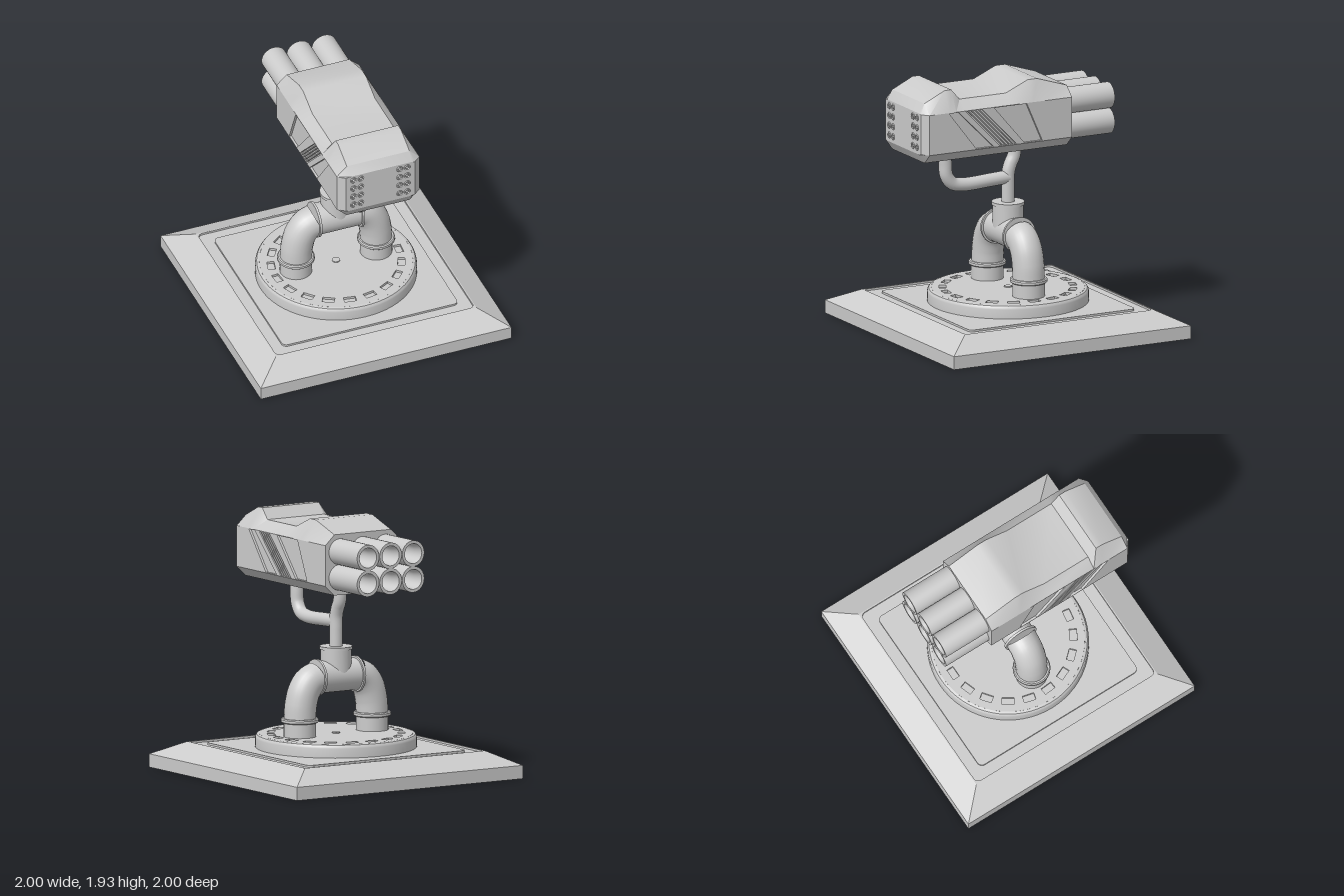
import * as THREE from 'three';
import { toCreasedNormals } from 'three/addons/utils/BufferGeometryUtils.js';

const grey = new THREE.MeshStandardMaterial({ color: 0xcccccc });
const V2 = (x, y) => new THREE.Vector2(x, y);

function add(parent, name, geometry, x = 0, y = 0, z = 0) {
  const mesh = new THREE.Mesh(geometry, grey);
  mesh.name = name;
  mesh.position.set(x, y, z);
  parent.add(mesh);
  return mesh;
}

function group(parent, name) {
  const g = new THREE.Group();
  g.name = name;
  parent.add(g);
  return g;
}

const lathe = (pts, seg = 32) =>
  toCreasedNormals(new THREE.LatheGeometry(pts.map(p => V2(...p)), seg), 0.6);
const polygon = pts => new THREE.Shape(pts.map(p => V2(...p)));
const tube = (pts, r, seg = 24) =>
  new THREE.TubeGeometry(new THREE.CatmullRomCurve3(pts.map(p => new THREE.Vector3(...p))), seg, r, 24);

// Square outline with rounded corners, h = half width
function roundedSquare(h, r) {
  const s = new THREE.Shape();
  [[1, 1], [-1, 1], [-1, -1], [1, -1]].forEach(([sx, sy], i) =>
    s.absarc(sx * (h - r), sy * (h - r), r, i * Math.PI / 2, (i + 1) * Math.PI / 2));
  return s;
}

// Horizontal slab extruded upwards from y = 0
const slab = (shape, depth) =>
  new THREE.ExtrudeGeometry(shape, { depth, bevelEnabled: false, curveSegments: 24 }).rotateX(-Math.PI / 2);

function buildBase(root) {
  const base = group(root, 'base');
  add(base, 'plinth', new THREE.BoxGeometry(2, 0.1, 2), 0, 0.05, 0);
  const slope = new THREE.CylinderGeometry(0.8 * Math.SQRT2, Math.SQRT2, 0.1, 4, 1, true).rotateY(Math.PI / 4);
  add(base, 'slopedEdge', toCreasedNormals(slope, 0.3), 0, 0.15, 0);
  // Shallow moat around a raised pad
  const rim = polygon([[-0.8, -0.8], [0.8, -0.8], [0.8, 0.8], [-0.8, 0.8]]);
  rim.holes.push(roundedSquare(0.79, 0.04));
  add(base, 'rim', slab(rim, 0.02), 0, 0.18, 0);
  add(base, 'moatFloor', new THREE.PlaneGeometry(1.6, 1.6).rotateX(-Math.PI / 2), 0, 0.185, 0);
  add(base, 'pad', slab(roundedSquare(0.7, 0.04), 0.02), 0, 0.18, 0);
}

function buildTurntable(root) {
  const table = group(root, 'turntable');
  add(table, 'turntableEdge', lathe([[0.6, 0.2], [0.6, 0.27], [0.597, 0.283], [0.588, 0.295], [0.57, 0.3]], 64));
  // Top plate with a ring of slots
  const plate = new THREE.Shape().absarc(0, 0, 0.57, 0, Math.PI * 2);
  for (let i = 0; i < 19; i++) {
    const a = Math.PI / 2 + i * Math.PI * 2 / 19;
    const c = Math.cos(a), s = Math.sin(a);
    plate.holes.push(polygon([[-1, -1], [1, -1], [1, 1], [-1, 1]].map(([u, v]) => {
      const r = 0.485 + u * 0.027, t = v * 0.045;
      return [c * r - s * t, s * r + c * t];
    })));
  }
  add(table, 'slottedPlate', slab(plate, 0.02), 0, 0.28, 0);
  add(table, 'slotFloor', new THREE.CircleGeometry(0.57, 48).rotateX(-Math.PI / 2), 0, 0.282, 0);
  add(table, 'centreCap', new THREE.CylinderGeometry(0.03, 0.03, 0.01, 20), 0, 0.302, 0);
}

function buildStand(root) {
  const stand = group(root, 'pipeStand');
  for (const s of [1, -1]) {
    add(stand, 'footPipe', new THREE.CylinderGeometry(0.12, 0.12, 0.13, 32), s * 0.32, 0.36, 0);
    add(stand, 'footFlange', lathe([[0, 0.405], [0.132, 0.405], [0.14, 0.412], [0.14, 0.43], [0.132, 0.438], [0, 0.438]]), s * 0.32, 0, 0);
    add(stand, 'elbow', tube([[0.32, 0.42, 0], [0.312, 0.53, 0], [0.285, 0.63, 0], [0.235, 0.7, 0], [0.165, 0.73, 0]]
      .map(([x, y, z]) => [s * x, y, z]), 0.12));
    add(stand, 'teeFlange', new THREE.CylinderGeometry(0.136, 0.136, 0.018, 32).rotateZ(Math.PI / 2), s * 0.17, 0.73, 0);
  }
  add(stand, 'teePipe', new THREE.CylinderGeometry(0.12, 0.12, 0.34, 32).rotateZ(Math.PI / 2), 0, 0.73, 0);
  add(stand, 'teeNeck', lathe([[0.115, 0.73], [0.115, 0.93], [0.122, 0.93], [0.122, 0.953], [0, 0.953]]));
  // Bent post and the forward support arm
  add(stand, 'post', tube([[0, 0.94, 0], [0, 1.08, 0], [0, 1.18, -0.003], [0, 1.24, -0.022], [0, 1.3, -0.05], [0, 1.42, -0.06]], 0.049));
  add(stand, 'supportArm', tube([[0, 1.14, 0], [0, 1.132, 0.15], [0, 1.125, 0.38], [0, 1.145, 0.47],
    [0, 1.21, 0.52], [0, 1.3, 0.53], [0, 1.42, 0.537]], 0.05, 40));
}

// Housing lofted through octagonal cross-sections; the flat sides are left for panels
function housingGeometry() {
  const ring = (z, top, w = 0.33, low = 1.395) => [
    [-0.25, low], [0.25, low], [w, 1.47], [w, 1.775], [0.25, top], [-0.25, top], [-w, 1.775], [-w, 1.47],
  ].map(([x, y]) => [x, y, z]);
  const rings = [
    ring(0.885, 1.78, 0.275, 1.465),
    ...[[0.84, 1.85], [0.67, 1.93], [0.615, 1.93], [0.545, 1.85], [0.155, 1.85],
      [-0.03, 1.93], [-0.11, 1.93], [-0.36, 1.85]].map(([z, t]) => ring(z, t)),
  ];
  const index = [], last = (rings.length - 1) * 8;
  for (let i = 0; i < rings.length - 1; i++) {
    for (let j = 0; j < 8; j++) {
      if (i > 0 && (j === 2 || j === 6)) continue;
      const a = i * 8 + j, b = i * 8 + (j + 1) % 8;
      index.push(a, b + 8, b, a, a + 8, b + 8);
    }
  }
  for (let j = 1; j < 7; j++) index.push(0, j, j + 1, last, last + j + 1, last + j);
  const geo = new THREE.BufferGeometry();
  geo.setAttribute('position', new THREE.Float32BufferAttribute(rings.flat(2), 3));
  geo.setIndex(index);
  return toCreasedNormals(geo, 0.5);
}

// Side panel with slanted recesses: each is [top front, top back, bottom front, bottom back] in z
function sidePanelGeometry() {
  const panel = polygon([[-0.36, 1.47], [0.84, 1.47], [0.84, 1.775], [-0.36, 1.775]]);
  const cuts = [[0.675, 0.595, 0.445, 0.3], [0.295, 0.02, 0.04, -0.11]];
  for (let i = 0; i < 5; i++) {
    const t = 0.535 - i * 0.03, b = 0.245 - i * 0.03;
    cuts.push([t, t - 0.018, b, b - 0.018]);
  }
  for (const [tf, tb, bf, bb] of cuts)
    panel.holes.push(polygon([[bb, 1.475], [bf, 1.475], [tf, 1.77], [tb, 1.77]]));
  return new THREE.ExtrudeGeometry(panel, { depth: 0.02, bevelEnabled: false }).rotateY(-Math.PI / 2);
}

function buildLauncher(root) {
  const launcher = group(root, 'launcher');
  add(launcher, 'housing', housingGeometry());
  for (const s of [1, -1]) {
    add(launcher, 'sidePanel', sidePanelGeometry(), s > 0 ? 0.33 : -0.31, 0, 0);
    add(launcher, 'recessFloor', new THREE.BoxGeometry(0.02, 0.305, 1.2), s * 0.302, 1.6225, 0.24);
  }
  // Hollow tubes at the rear
  const barrel = lathe([[0.098, 0], [0.098, 0.385], [0.075, 0.385], [0.065, 0.3], [0.065, 0.1], [0, 0.1]]).rotateX(-Math.PI / 2);
  for (const x of [-0.2, 0, 0.2])
    for (const y of [1.527, 1.72]) add(launcher, 'launchTube', barrel, x, y, -0.355);
  // Small ringed ports on the front face
  const port = new THREE.TorusGeometry(0.019, 0.006, 8, 20);
  const stud = new THREE.SphereGeometry(0.01, 12, 8);
  for (const x of [-0.214, -0.155, 0.155, 0.214])
    for (let row = 0; row < 4; row++) {
      add(launcher, 'portRing', port, x, 1.515 + row * 0.075, 0.885);
      add(launcher, 'portStud', stud, x, 1.515 + row * 0.075, 0.882);
    }
}

export function createModel() {
  const root = new THREE.Group();
  root.name = 'launcherTurret';
  buildBase(root);
  buildTurntable(root);
  buildStand(root);
  buildLauncher(root);
  return root;
}
